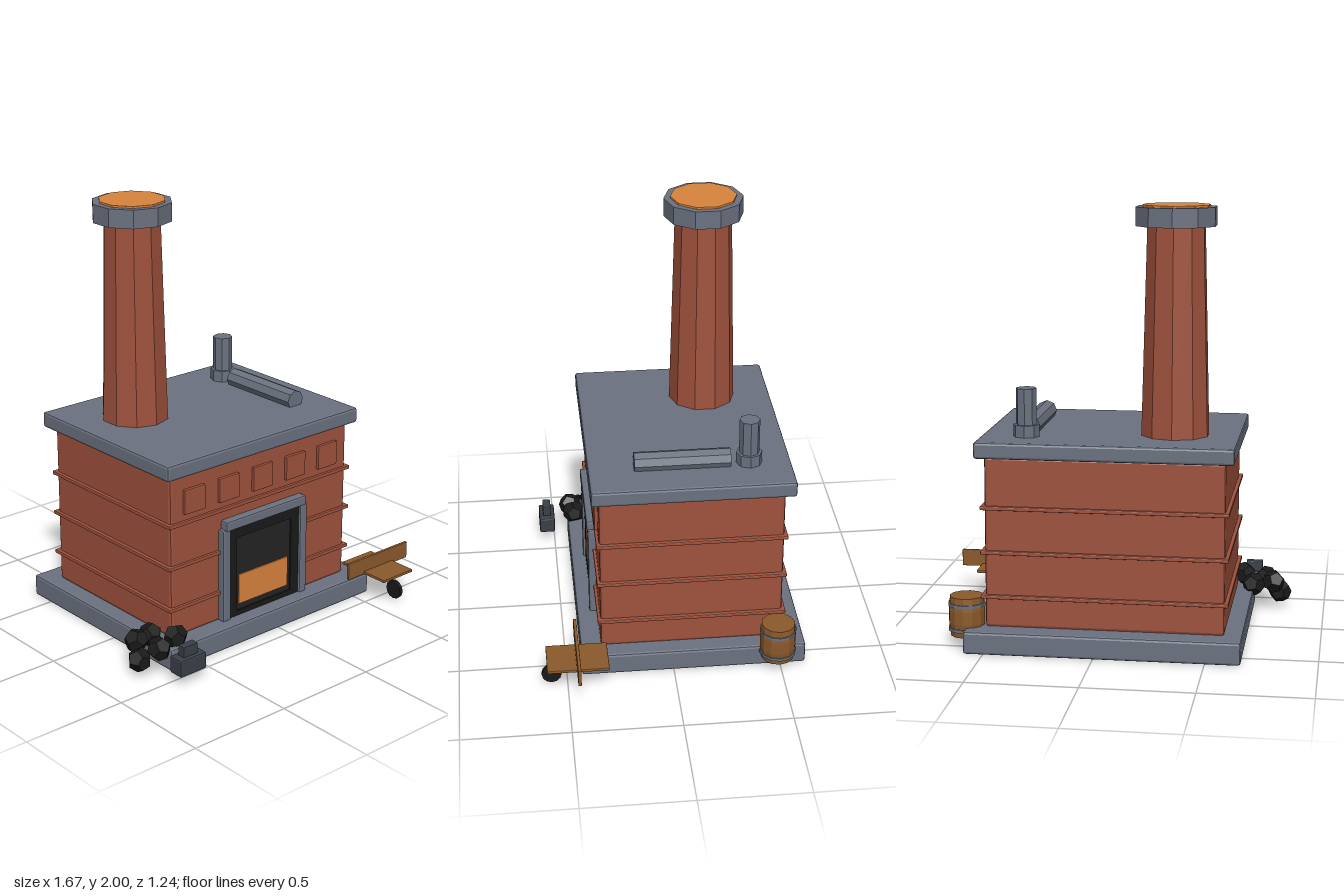
import * as THREE from 'three';
import { RoundedBoxGeometry } from 'three/addons/geometries/RoundedBoxGeometry.js';

const mat = (name, color) => {
  const m = new THREE.MeshStandardMaterial({ color, flatShading: true });
  m.name = name;
  return m;
};

export function createModel() {
  const brick = mat('brick', 0xa0523d);
  const stone = mat('slate stone', 0x6b7280);
  const iron = mat('dark iron', 0x3a3f48);
  const soot = mat('soot black', 0x1a1a1a);
  const hearth = mat('hearth grey', 0x242424);
  const ember = mat('ember orange', 0xd9843e);
  const wood = mat('wood', 0x8b5a2b);

  const root = new THREE.Group();
  root.name = 'furnace';

  const add = (name, geometry, material, x, y, z, parent = root) => {
    const mesh = new THREE.Mesh(geometry, material);
    mesh.name = name;
    mesh.position.set(x, y, z);
    parent.add(mesh);
    return mesh;
  };
  // Box given by its limits on each axis; a bevel above zero chamfers the edges
  const box = (name, material, [x0, x1], [y0, y1], [z0, z1], bevel = 0, parent = root) => {
    const size = [x1 - x0, y1 - y0, z1 - z0];
    const geometry = bevel ? new RoundedBoxGeometry(...size, 1, bevel) : new THREE.BoxGeometry(...size);
    return add(name, geometry, material, (x0 + x1) / 2, (y0 + y1) / 2, (z0 + z1) / 2, parent);
  };
  const group = (name) => {
    const g = new THREE.Group();
    g.name = name;
    root.add(g);
    return g;
  };
  const cyl = (rTop, rBottom, h, sides) => new THREE.CylinderGeometry(rTop, rBottom, h, sides);

  // Plinth, brick body and top slab
  box('plinth', stone, [-0.66, 0.59], [0, 0.105], [-0.62, 0.43], 0.012);
  box('body', brick, [-0.58, 0.505], [0.1, 0.89], [-0.515, 0.335], 0.015);
  box('topSlab', stone, [-0.62, 0.545], [0.885, 0.96], [-0.56, 0.37], 0.012);

  // Brick courses around the body
  for (const y of [0.245, 0.45, 0.655])
    box('brickCourse', brick, [-0.597, 0.523], [y - 0.009, y + 0.009], [-0.53, 0.348], 0.004);

  // Raised square bricks across the front
  for (let i = 0; i < 5; i++) {
    const x = -0.447 + i * 0.205;
    box('frontTile', brick, [x - 0.06, x + 0.06], [0.695, 0.813], [0.325, 0.35], 0.004);
  }

  // Stone surround of the fire opening
  const fire = group('fireplace');
  box('leftPost', stone, [0.182, 0.226], [0.1, 0.56], [0.31, 0.37], 0.008, fire);
  box('rightPost', stone, [-0.298, -0.252], [0.1, 0.56], [0.31, 0.37], 0.008, fire);
  box('lintel', stone, [-0.282, 0.212], [0.553, 0.602], [0.3, 0.375], 0.008, fire);

  // Black door frame, back panel and glowing bed
  box('backPanel', hearth, [-0.21, 0.138], [0.11, 0.505], [0.33, 0.35], 0, fire);
  box('frameLeft', soot, [0.133, 0.183], [0.105, 0.555], [0.33, 0.358], 0, fire);
  box('frameRight', soot, [-0.253, -0.205], [0.105, 0.555], [0.33, 0.358], 0, fire);
  box('frameTop', soot, [-0.205, 0.133], [0.5, 0.555], [0.33, 0.358], 0, fire);
  box('frameSill', soot, [-0.205, 0.133], [0.105, 0.13], [0.33, 0.358], 0, fire);
  box('emberBed', ember, [-0.19, 0.115], [0.16, 0.308], [0.35, 0.356], 0, fire);

  // Tapered ten-sided chimney with a stone cap
  const chimney = group('chimney');
  chimney.position.set(-0.325, 0, -0.228);
  add('stack', cyl(0.133, 0.158, 0.97, 10), brick, 0, 1.435, 0, chimney);
  add('cap', cyl(0.186, 0.186, 0.086, 10), stone, 0, 1.948, 0, chimney);
  add('glow', cyl(0.155, 0.155, 0.02, 10), ember, 0, 1.99, 0, chimney);

  // Vent pipe and flue lying on the top slab
  const vent = group('vent');
  add('ventFlange', cyl(0.06, 0.06, 0.058, 8), stone, 0.337, 0.986, -0.367, vent);
  add('ventPipe', cyl(0.047, 0.047, 0.225, 8), stone, 0.337, 1.068, -0.367, vent);
  const flue = add('flue', cyl(0.048, 0.048, 0.44, 8), stone, 0.337, 0.988, -0.06, vent);
  flue.rotation.x = Math.PI / 2;

  // Barrel with two hoops
  const barrel = group('barrel');
  barrel.position.set(0.597, 0.147, -0.485);
  const staves = [[0, -0.092], [0.076, -0.092], [0.084, -0.03], [0.084, 0.03], [0.078, 0.092], [0, 0.092]];
  add('staves', new THREE.LatheGeometry(staves.map(([r, y]) => new THREE.Vector2(r, y)), 12), wood, 0, 0, 0, barrel);
  for (const y of [-0.06, 0.055]) add('hoop', cyl(0.086, 0.086, 0.014, 12), stone, 0, y, 0, barrel);

  // Handcart: tray, cross board and wheel
  const cart = group('handcart');
  box('tray', wood, [0.53, 0.728], [0.124, 0.138], [0.31, 0.595], 0.003, cart);
  box('crossBoard', wood, [0.426, 0.83], [0.124, 0.208], [0.444, 0.459], 0.003, cart);
  const wheel = add('wheel', cyl(0.046, 0.046, 0.018, 12), soot, 0.629, 0.055, 0.573, cart);
  wheel.rotation.z = Math.PI / 2;

  // Iron tool chest
  const chest = group('ironChest');
  box('chestBody', iron, [-0.724, -0.576], [0.05, 0.132], [0.497, 0.575], 0.008, chest);
  box('chestTop', iron, [-0.69, -0.61], [0.125, 0.182], [0.516, 0.556], 0.004, chest);

  // Coal lumps in a loose ring
  const coal = group('coalPile');
  const lumps = [[-0.785, 0.078, 0.36], [-0.755, 0.14, 0.3], [-0.715, 0.13, 0.412], [-0.66, 0.13, 0.28], [-0.608, 0.15, 0.398]];
  lumps.forEach(([x, y, z], i) => {
    const lump = add('coalLump', new THREE.DodecahedronGeometry(0.057), soot, x, y, z, coal);
    lump.rotation.set(i * 1.3, i * 0.9 + 0.4, i * 0.7);
  });

  return root;
}
